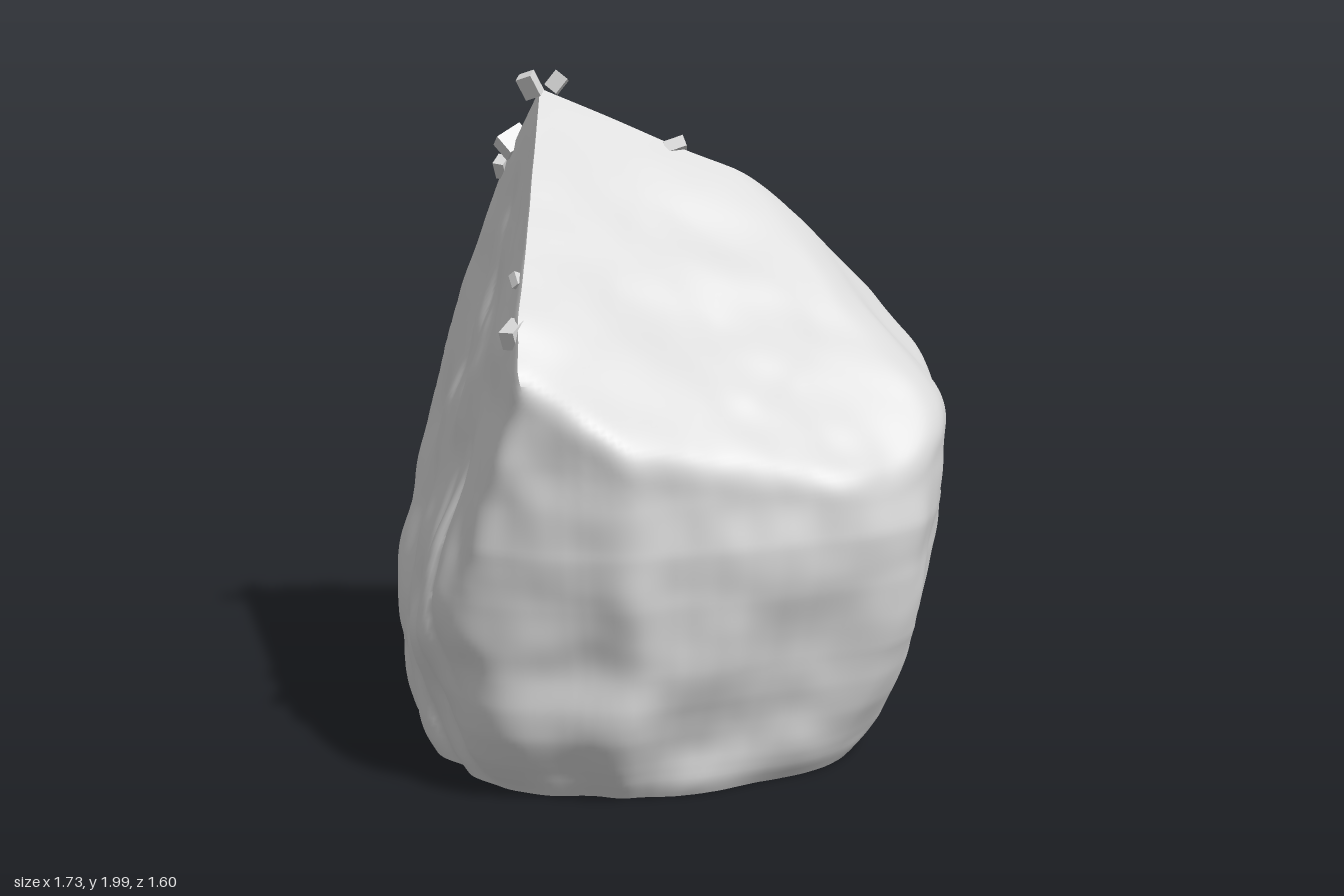
import * as THREE from 'three';
import { toCreasedNormals } from 'three/addons/utils/BufferGeometryUtils.js';

const peak = new THREE.Vector3(-0.36, 1.93, -0.07);
const plane = (n, point) => {
  const normal = new THREE.Vector3(...n).normalize();
  return { normal, d: normal.dot(point) };
};

// Split faces that meet at the peak: front right, left, back
const cuts = [[0.485, 0.722, 0.494], [-0.873, 0.281, 0.4], [0, 0.6, -0.8]].map(n => plane(n, peak));
const leftNormal = cuts[1].normal;

// Worn shoulders: right, back right, back left
const shoulders = [
  plane([0.74, 0.67, 0], new THREE.Vector3(0.3, 1.64, -0.28)),
  plane([0.335, 0.53, -0.78], new THREE.Vector3(0.3, 1.64, -0.28)),
  plane([-0.72, 0.5, -0.48], new THREE.Vector3(-0.68, 1.4, -0.42)),
];

// Plan outline (x, z) of the lower body, as radius by angle
const outlinePoints = [[-0.84, -0.45], [-0.88, -0.2], [-0.85, 0.1], [-0.73, 0.38], [-0.5, 0.66], [-0.35, 0.78],
  [-0.2, 0.81], [0, 0.78], [0.13, 0.78], [0.22, 0.72], [0.5, 0.53], [0.8, 0.29], [0.87, 0.1], [0.84, -0.2],
  [0.78, -0.38], [0.65, -0.55], [0.4, -0.7], [0.2, -0.81], [-0.15, -0.77], [-0.4, -0.7], [-0.65, -0.57]];
const outline = new THREE.CatmullRomCurve3(outlinePoints.map(([x, z]) => new THREE.Vector3(x, 0, z)), true)
  .getPoints(80).slice(1).map(p => [Math.atan2(p.z, p.x), Math.hypot(p.x, p.z)]).sort((a, b) => a[0] - b[0]);
const first = outline[0], last = outline[outline.length - 1];
outline.push([first[0] + 2 * Math.PI, first[1]]);
outline.unshift([last[0] - 2 * Math.PI, last[1]]);

// Width of the body by height
const profile = [[0, 0.755], [0.05, 0.8], [0.1, 0.83], [0.2, 0.875], [0.3, 0.91], [0.4, 0.935], [0.6, 0.98],
  [0.75, 1], [1, 0.99], [1.2, 0.97], [1.5, 0.92], [2, 0.85]];

function lookup(table, t) {
  let i = 1;
  while (i < table.length - 1 && table[i][0] < t) i++;
  const [a, b] = [table[i - 1], table[i]];
  return THREE.MathUtils.lerp(a[1], b[1], (t - a[0]) / (b[0] - a[0]));
}

// Smooth lattice noise from -1 to 1
function hash(x, y, z) {
  let h = Math.imul(x, 374761393) ^ Math.imul(y, 668265263) ^ Math.imul(z, 1274126177);
  h = Math.imul(h ^ (h >>> 13), 1103515245);
  return ((h ^ (h >>> 16)) >>> 0) / 2147483648 - 1;
}
function noise(x, y, z) {
  const [i, j, k] = [x, y, z].map(Math.floor);
  const [u, v, w] = [x - i, y - j, z - k].map(t => t * t * (3 - 2 * t));
  const mix = THREE.MathUtils.lerp;
  const row = (b, c) => mix(hash(i, b, c), hash(i + 1, b, c), u);
  return mix(mix(row(j, k), row(j + 1, k), v), mix(row(j, k + 1), row(j + 1, k + 1), v), w);
}

// Maximum with a slightly rounded corner
function softMax(a, b) {
  const h = Math.max(0.04 - Math.abs(a - b), 0);
  return Math.max(a, b) + h * h / 0.16;
}

const side = (c, p) => c.normal.dot(p) - c.d;
function inside(p) {
  const low = Math.max(0, 0.4 - p.y); // the foot leans to one side
  const x = p.x + 0.12 * low, z = p.z - 0.04 * low;
  let f = Math.hypot(x, z) - lookup(outline, Math.atan2(z, x)) * lookup(profile, p.y);
  for (const s of shoulders) f = softMax(f, side(s, p));
  return softMax(f, Math.max(...cuts.map(c => side(c, p)))) < 0;
}

// Point of the rock surface at one height and angle
function surfacePoint(y, angle) {
  const t = Math.max(0, (y - 0.9) / (peak.y - 0.9));
  const centre = new THREE.Vector3(peak.x * t, y, peak.z * t);
  const dir = new THREE.Vector3(Math.cos(angle), 0, Math.sin(angle));
  const p = new THREE.Vector3();
  let lo = 0, hi = 1.6;
  for (let i = 0; i < 18; i++) {
    const mid = (lo + hi) / 2;
    if (inside(p.copy(centre).addScaledVector(dir, mid))) lo = mid; else hi = mid;
  }
  p.copy(centre).addScaledVector(dir, lo);
  // Rounded lumps everywhere, long upright splits on the left face
  let bump = 0.03 * noise(p.x * 4, p.y * 4.5, p.z * 4) + 0.01 * noise(p.x * 8, p.y * 8, p.z * 8);
  const split = THREE.MathUtils.smoothstep(dir.dot(leftNormal), 0.7, 0.85);
  const along = p.z * 6.5 + p.y * 2 + p.x;
  bump += split * 0.035 * (Math.abs(noise(along, p.y * 1.6, 3.5)) - 0.3);
  // Slanting layers on the upper back
  const back = THREE.MathUtils.smoothstep(-dir.z, 0.5, 0.8) * THREE.MathUtils.smoothstep(y, 0.9, 1.1);
  bump += back * 0.02 * noise(p.x * 2, p.y * 7 + p.x * 3, 7.5);
  const fade = Math.min(1, (peak.y - y) / 0.45);
  return p.addScaledVector(dir, bump * fade);
}

function rockGeometry(rows, columns) {
  const positions = [], index = [];
  for (let i = 0; i <= rows; i++) {
    const y = peak.y * 0.997 * i / rows;
    for (let j = 0; j < columns; j++) positions.push(...surfacePoint(y, j / columns * 2 * Math.PI));
  }
  const bottom = (rows + 1) * columns, top = bottom + 1;
  positions.push(0, 0, 0, ...peak);
  for (let j = 0; j < columns; j++) {
    const n = (j + 1) % columns;
    index.push(bottom, j, n, top, rows * columns + n, rows * columns + j);
    for (let i = 0; i < rows; i++) {
      const a = i * columns + j, b = i * columns + n;
      index.push(a, a + columns, b, b, a + columns, b + columns);
    }
  }
  const geometry = new THREE.BufferGeometry();
  geometry.setAttribute('position', new THREE.Float32BufferAttribute(positions, 3));
  geometry.setIndex(index);
  return toCreasedNormals(geometry, 0.7);
}

export function createModel() {
  const model = new THREE.Group();
  model.name = 'boulder';
  const stone = new THREE.MeshStandardMaterial({ name: 'pale grey stone', color: 0xd8d8d8 });

  const rock = new THREE.Mesh(rockGeometry(130, 280), stone);
  rock.name = 'rock';
  model.add(rock);

  // Loose angular chips along the sharp ridges: x, y, z, size
  const chips = [[-0.385, 1.94, -0.05, 0.05], [-0.32, 1.945, -0.11, 0.055], [-0.235, 1.33, 0.64, 0.055],
    [0.02, 1.755, -0.2, 0.045], [-0.49, 1.755, -0.22, 0.065], [-0.54, 1.67, -0.27, 0.045],
    [-0.27, 1.45, 0.49, 0.03]];
  const chipGroup = new THREE.Group();
  chipGroup.name = 'ridgeChips';
  const chipGeometry = toCreasedNormals(new THREE.BoxGeometry(1, 1.4, 0.8), 0.1);
  chips.forEach(([x, y, z, size], i) => {
    const chip = new THREE.Mesh(chipGeometry, stone);
    chip.name = 'chip' + (i + 1);
    chip.position.set(x, y, z);
    chip.rotation.set(0.4 + i * 1.3, i * 0.9, 0.35 - i * 0.7);
    chip.scale.setScalar(size);
    chipGroup.add(chip);
  });
  model.add(chipGroup);
  return model;
}
